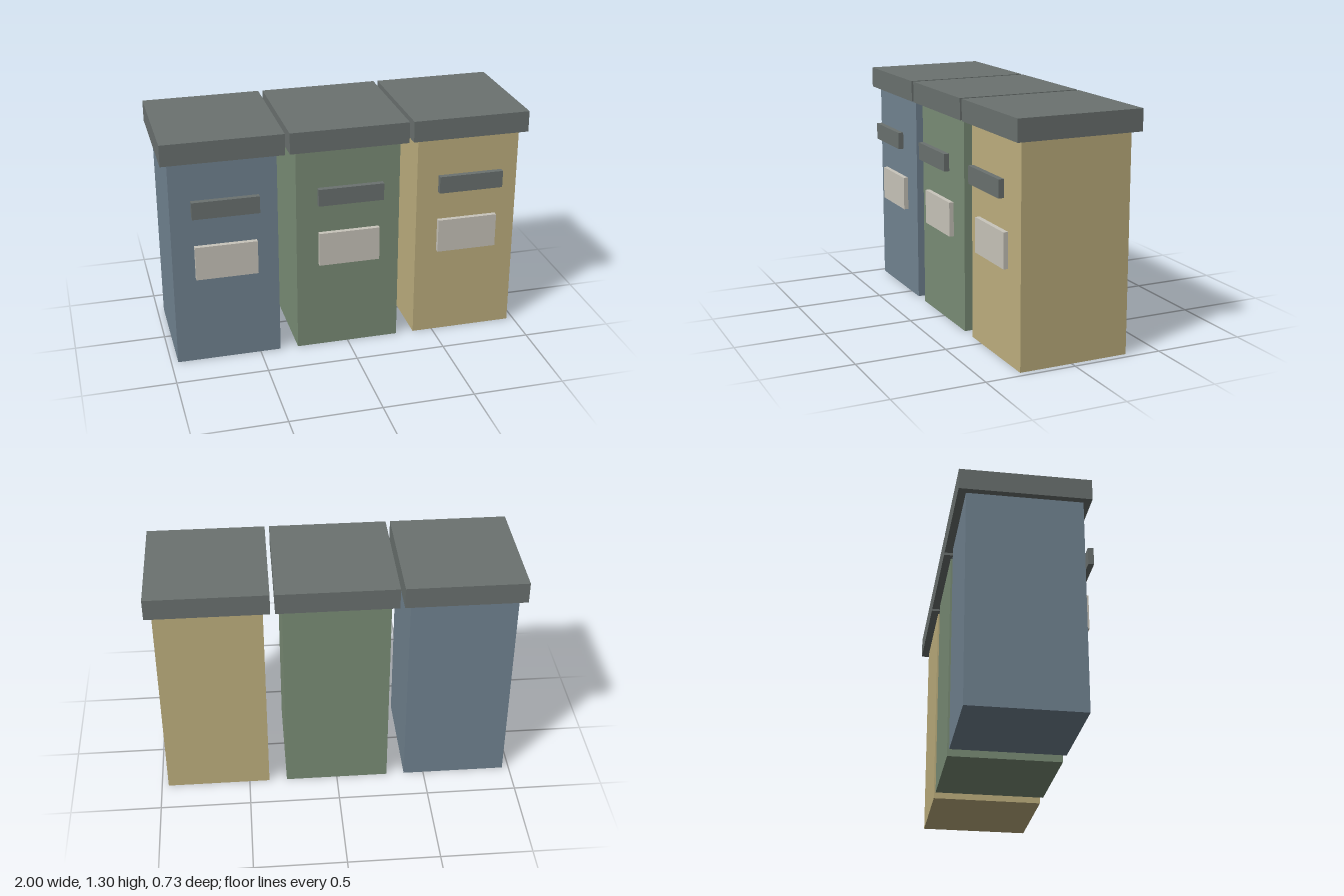
import * as THREE from 'three';

const material = (color) => new THREE.MeshStandardMaterial({ color, flatShading: true });

// Box given by its width and its y and z ranges, centred on x
function slab(name, width, [y0, y1], [z0, z1], mat) {
  const mesh = new THREE.Mesh(new THREE.BoxGeometry(width, y1 - y0, z1 - z0), mat);
  mesh.position.set(0, (y0 + y1) / 2, (z0 + z1) / 2);
  mesh.name = name;
  return mesh;
}

export function createModel() {
  const model = new THREE.Group();
  model.name = 'recyclingBins';
  const grey = material(0x6b7270);
  const pale = material(0xc9c5bb);
  const bins = [['blueBin', 0x728492], ['greenBin', 0x7b8e77], ['yellowBin', 0xbfb07f]];
  const spacing = 0.675;

  bins.forEach(([name, color], i) => {
    const bin = new THREE.Group();
    bin.name = name;
    bin.position.x = (i - 1) * spacing;
    bin.add(
      slab('body', 0.575, [0, 1.18], [-0.32, 0.293], material(color)),
      slab('lid', 0.65, [1.18, 1.297], [-0.362, 0.333], grey),
      // Slot plate and label stand slightly clear of the front face
      slab('slot', 0.36, [0.88, 0.976], [0.333, 0.363], grey),
      slab('label', 0.337, [0.511, 0.702], [0.304, 0.33], pale),
    );
    model.add(bin);
  });
  return model;
}
